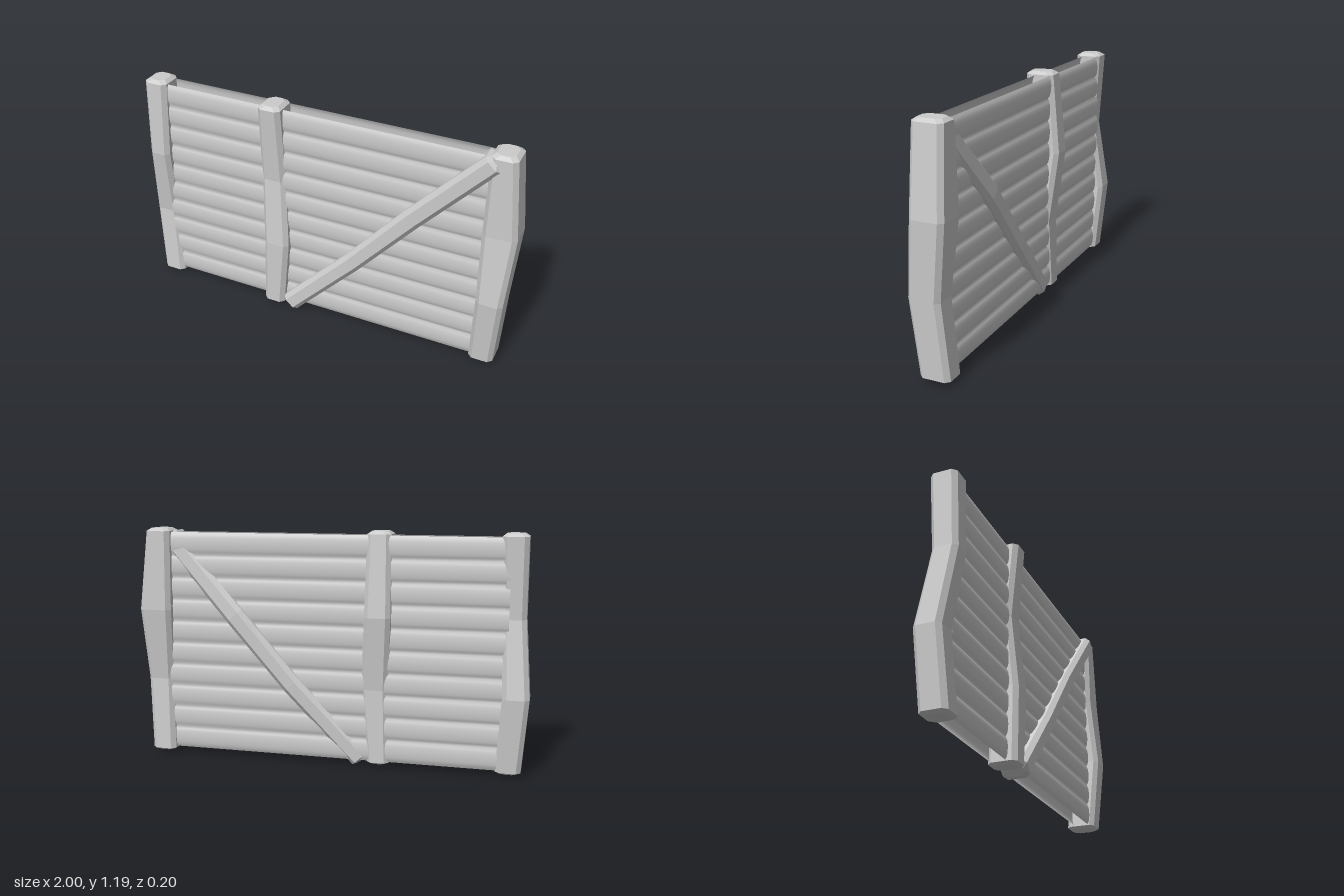
import * as THREE from 'three';

const grey = new THREE.MeshStandardMaterial({ color: 0xcccccc, flatShading: true });
const sheet = new THREE.MeshStandardMaterial({ color: 0xcccccc, side: THREE.DoubleSide });

// Hewn timber: chamfered rectangles [y, x0, x1, z0, z1] lofted upwards, with bevelled ends
function beam(name, sections, chamfer = 0.022, bevel = 0.02) {
  const inset = ([y, x0, x1, z0, z1], dy) => [y + dy, x0 + bevel, x1 - bevel, z0 + bevel, z1 - bevel];
  const rows = [inset(sections[0], -0.012), ...sections, inset(sections[sections.length - 1], 0.015)];
  const pos = [], idx = [], n = 8;
  for (const [y, x0, x1, z0, z1] of rows) {
    const c = chamfer;
    const ring = [
      [x1, z0 + c], [x1, z1 - c], [x1 - c, z1], [x0 + c, z1],
      [x0, z1 - c], [x0, z0 + c], [x0 + c, z0], [x1 - c, z0],
    ];
    for (const [x, z] of ring) pos.push(x, y, z);
  }
  for (let r = 0; r < rows.length - 1; r++) {
    for (let j = 0; j < n; j++) {
      const a = r * n + j, b = r * n + (j + 1) % n;
      idx.push(a, a + n, b, b, a + n, b + n);
    }
  }
  const top = (rows.length - 1) * n;
  for (let k = 1; k < n - 1; k++) idx.push(0, k, k + 1, top, top + k + 1, top + k);
  const geo = new THREE.BufferGeometry();
  geo.setAttribute('position', new THREE.Float32BufferAttribute(pos, 3));
  geo.setIndex(idx);
  geo.computeVertexNormals();
  const mesh = new THREE.Mesh(geo, grey);
  mesh.name = name;
  return mesh;
}

// One face of the wall: a sheet bulging into rounded horizontal planks
function planks(name, z, turn) {
  const count = 10, h = 1.14;
  const geo = new THREE.PlaneGeometry(1.78, h, 1, count * 8);
  const p = geo.attributes.position;
  for (let i = 0; i < p.count; i++) {
    const t = (p.getY(i) / h + 0.5) * count;
    p.setZ(i, 0.012 * Math.sqrt(Math.abs(Math.sin(Math.PI * t))));
  }
  geo.computeVertexNormals();
  const mesh = new THREE.Mesh(geo, sheet);
  mesh.name = name;
  mesh.position.set(0, 0.62, z);
  mesh.rotation.y = turn;
  return mesh;
}

export function createModel() {
  const model = new THREE.Group();
  model.name = 'woodenWall';

  model.add(planks('frontPlanks', 0.035, 0), planks('backPlanks', -0.042, Math.PI));

  // Upright posts, each bent at two heights
  model.add(
    beam('rightPost', [
      [0.045, -0.97, -0.845, -0.065, 0.07],
      [0.42, -1.0, -0.87, -0.095, 0.04],
      [0.8, -0.97, -0.855, -0.04, 0.088],
      [1.195, -0.97, -0.845, -0.065, 0.07],
    ]),
    beam('middlePost', [
      [0.045, -0.315, -0.2, -0.06, 0.088],
      [0.42, -0.305, -0.167, -0.055, 0.088],
      [0.79, -0.322, -0.19, -0.098, 0.055],
      [1.195, -0.315, -0.195, -0.06, 0.088],
    ]),
    beam('leftPost', [
      [0.045, 0.832, 0.958, -0.087, 0.066],
      [0.42, 0.845, 0.98, -0.06, 0.1],
      [0.79, 0.832, 1.0, -0.1, 0.068],
      [1.195, 0.832, 0.958, -0.087, 0.066],
    ]),
  );

  // Diagonal brace passing through both plank faces
  const brace = beam('diagonalBrace', [
    [0.012, -0.05, 0.05, -0.052, 0.087],
    [0.52, -0.04, 0.06, -0.082, 0.08],
    [0.98, -0.054, 0.05, -0.088, 0.078],
    [1.515, -0.05, 0.05, -0.045, 0.085],
  ]);
  brace.position.set(-0.17, 0.045, 0);
  brace.rotation.z = -Math.atan2(1.03, 1.13);
  model.add(brace);

  return model;
}
